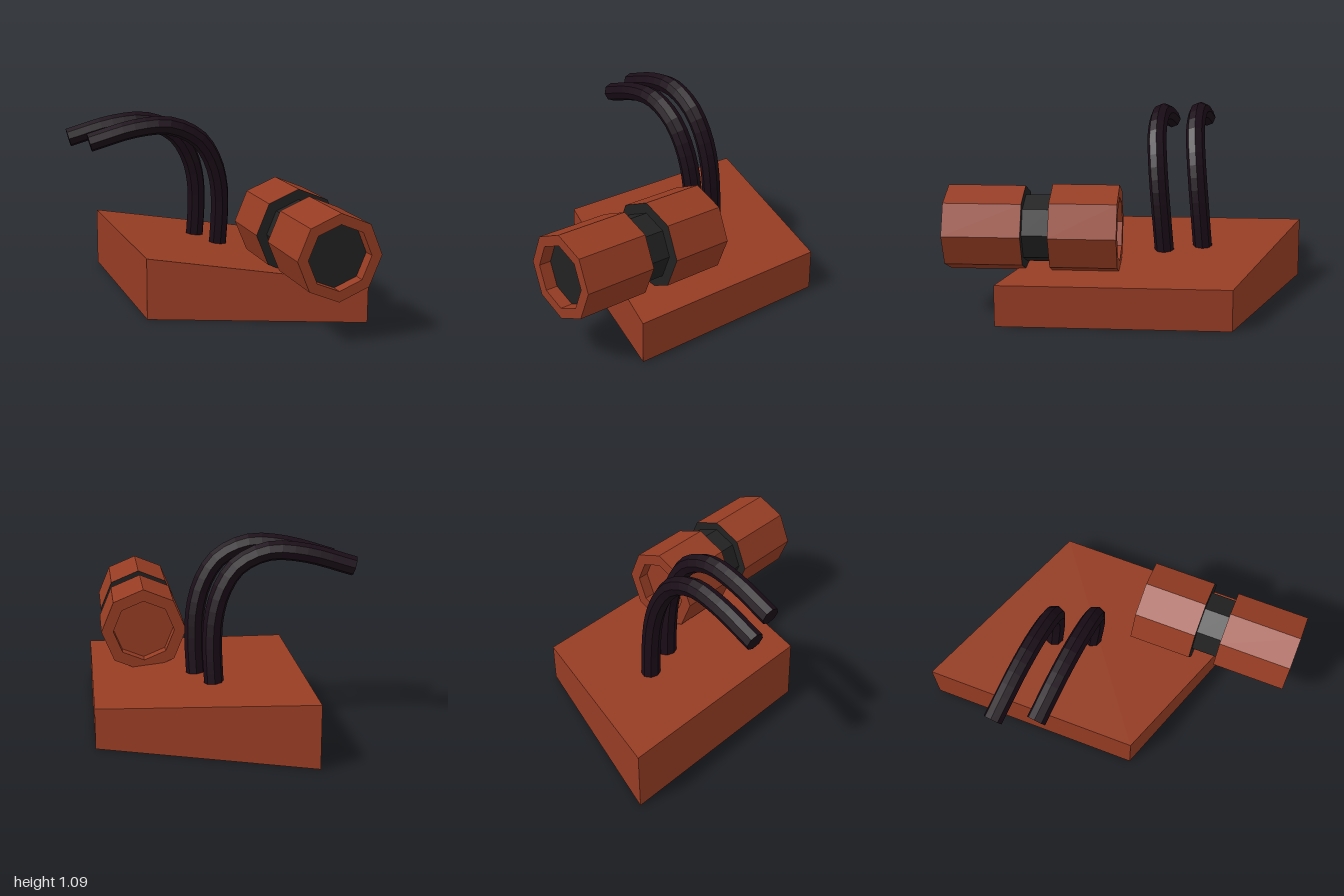
import * as THREE from 'three';

const paint = (color, side = THREE.FrontSide) =>
  new THREE.MeshStandardMaterial({ color, flatShading: true, side });

export function createModel() {
  const model = new THREE.Group();
  const rust = paint(0x963c23);
  const charcoal = paint(0x222222);
  const cableDark = paint(0x1a0d17);

  const add = (name, geometry, material, parent = model) => {
    const mesh = new THREE.Mesh(geometry, material);
    mesh.name = name;
    parent.add(mesh);
    return mesh;
  };

  // Wedge base: skewed plan, top sloping down towards +x
  const base = new THREE.BoxGeometry(1, 1, 1);
  const p = base.attributes.position;
  for (let i = 0; i < p.count; i++) {
    const left = p.getX(i) > 0;
    const top = left ? 0.23 : 0.355;
    const mid = left ? 0.065 : -0.36;
    p.setXYZ(i, left ? 0.73 : -0.43, p.getY(i) > 0 ? top : 0, mid + 1.28 * p.getZ(i));
  }
  add('base', base, rust);

  // Octagonal barrel; profiles are [radius, z], running from back to front
  const barrel = new THREE.Group();
  barrel.name = 'barrel';
  barrel.position.set(0.42, 0.477, 0);
  model.add(barrel);
  const turned = (name, profile, material) => {
    const points = profile.map(([r, z]) => new THREE.Vector2(r, z));
    add(name, new THREE.LatheGeometry(points, 8).rotateX(Math.PI / 2), material, barrel);
  };
  turned('rearSection', [[0, 0.12], [0.18, 0.12], [0.18, 0.05], [0.25, 0.05], [0.25, 0.42]], rust);
  turned('neck', [[0.25, 0.42], [0.19, 0.42], [0.19, 0.57], [0.24, 0.57]], charcoal);
  turned('frontSection', [[0.24, 0.57], [0.24, 1], [0.18, 1], [0.18, 0.93]], rust);
  turned('lens', [[0.18, 0.93], [0, 0.93]], charcoal);

  // Two curved cables rising from the base
  const path = [
    [0.06, 0.29, -0.405], [0.067, 0.5, -0.387], [0.055, 0.67, -0.372], [0.01, 0.82, -0.36],
    [-0.08, 0.95, -0.353], [-0.25, 1.03, -0.363], [-0.45, 1.02, -0.385], [-0.72, 0.945, -0.415],
  ];
  const sides = 8, steps = 20;
  [['rearCable', 0, 0], ['frontCable', 0.08, 0.22]].forEach(([name, dx, dz]) => {
    const cable = new THREE.Group();
    cable.name = name;
    model.add(cable);
    const curve = new THREE.CatmullRomCurve3(
      path.map(([x, y, z]) => new THREE.Vector3(x + dx, y, z + dz)));
    const tube = new THREE.TubeGeometry(curve, steps, 0.055, sides, false);
    add('sleeve', tube, cableDark, cable);

    // End caps reuse the first and last rings of the tube
    for (const [cap, ring, t] of [['lowerCap', 0, 0], ['upperCap', steps, 1]]) {
      const ringPoints = [curve.getPointAt(t)];
      for (let i = 0; i < sides; i++) {
        ringPoints.push(new THREE.Vector3().fromBufferAttribute(
          tube.attributes.position, ring * (sides + 1) + i));
      }
      const index = [];
      for (let i = 0; i < sides; i++) index.push(0, 1 + i, 1 + (i + 1) % sides);
      const disc = new THREE.BufferGeometry().setFromPoints(ringPoints);
      disc.setIndex(index);
      disc.computeVertexNormals();
      add(cap, disc, paint(0x1a0d17, THREE.DoubleSide), cable);
    }
  });

  return model;
}
